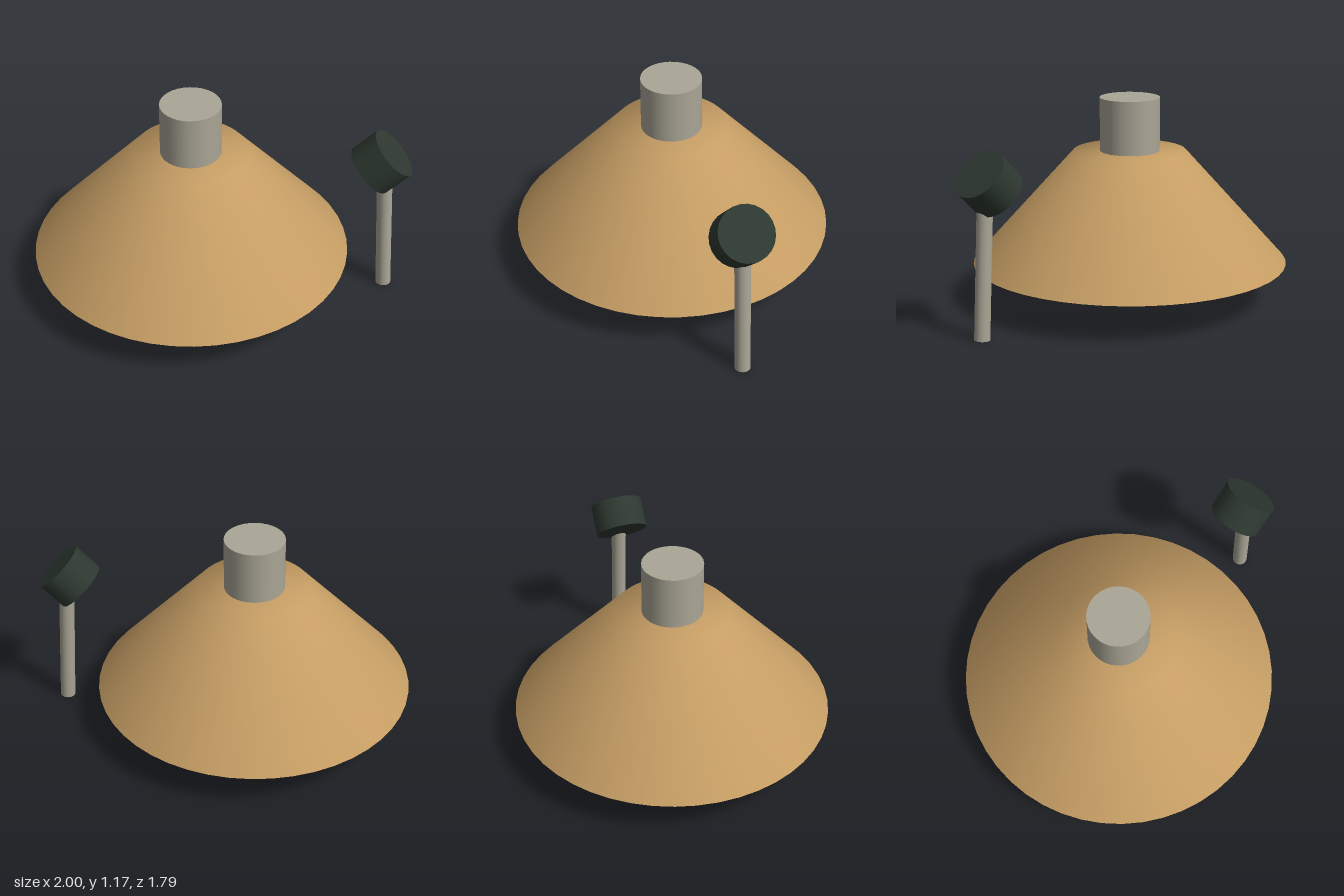
import * as THREE from 'three';

const wood = new THREE.MeshStandardMaterial({ name: 'tan wood', color: 0xc49c63 });
const metal = new THREE.MeshStandardMaterial({ name: 'warm grey', color: 0xaaa696 });
const rubber = new THREE.MeshStandardMaterial({ name: 'dark green black', color: 0x2d3830 });

function addMesh(parent, name, geometry, material) {
  const mesh = new THREE.Mesh(geometry, material);
  mesh.name = name;
  parent.add(mesh);
  return mesh;
}

// Closed cylinder running from point a to point b
function addRod(parent, name, a, b, rA, rB, segments, material) {
  const axis = b.clone().sub(a);
  const mesh = addMesh(parent, name, new THREE.CylinderGeometry(rB, rA, axis.length(), segments), material);
  mesh.position.copy(a).addScaledVector(axis, 0.5);
  mesh.quaternion.setFromUnitVectors(new THREE.Vector3(0, 1, 0), axis.normalize());
  return mesh;
}

export function createModel() {
  const model = new THREE.Group();
  model.name = 'coneAndMallet';

  // Cone body with a softly shaded shoulder, closed underneath, and its stem
  const bell = new THREE.Group();
  bell.name = 'bell';
  bell.position.x = -0.104;
  model.add(bell);

  const profile = [[0.896, 0.22], [0.32, 0.86], [0, 0.86]].map(([r, y]) => new THREE.Vector2(r, y));
  addMesh(bell, 'coneBody', new THREE.LatheGeometry(profile, 48), wood);

  const base = addMesh(bell, 'coneBase', new THREE.CircleGeometry(0.896, 48), wood);
  base.rotation.x = Math.PI / 2;
  base.position.y = 0.22;

  const stem = addMesh(bell, 'stem', new THREE.CylinderGeometry(0.17, 0.17, 0.305, 32), metal);
  stem.position.y = 1.0125;

  // Mallet: slightly leaning handle with a tilted drum-shaped head
  const mallet = new THREE.Group();
  mallet.name = 'mallet';
  model.add(mallet);

  addRod(mallet, 'handle', new THREE.Vector3(0.877, 0.002, 0.528),
    new THREE.Vector3(0.838, 0.8, 0.508), 0.043, 0.043, 24, metal);

  const center = new THREE.Vector3(0.822, 0.84, 0.495);
  const half = new THREE.Vector3(0.055, 0.062, 0.03);
  addRod(mallet, 'malletHead', center.clone().sub(half), center.clone().add(half), 0.152, 0.152, 24, rubber);

  return model;
}
